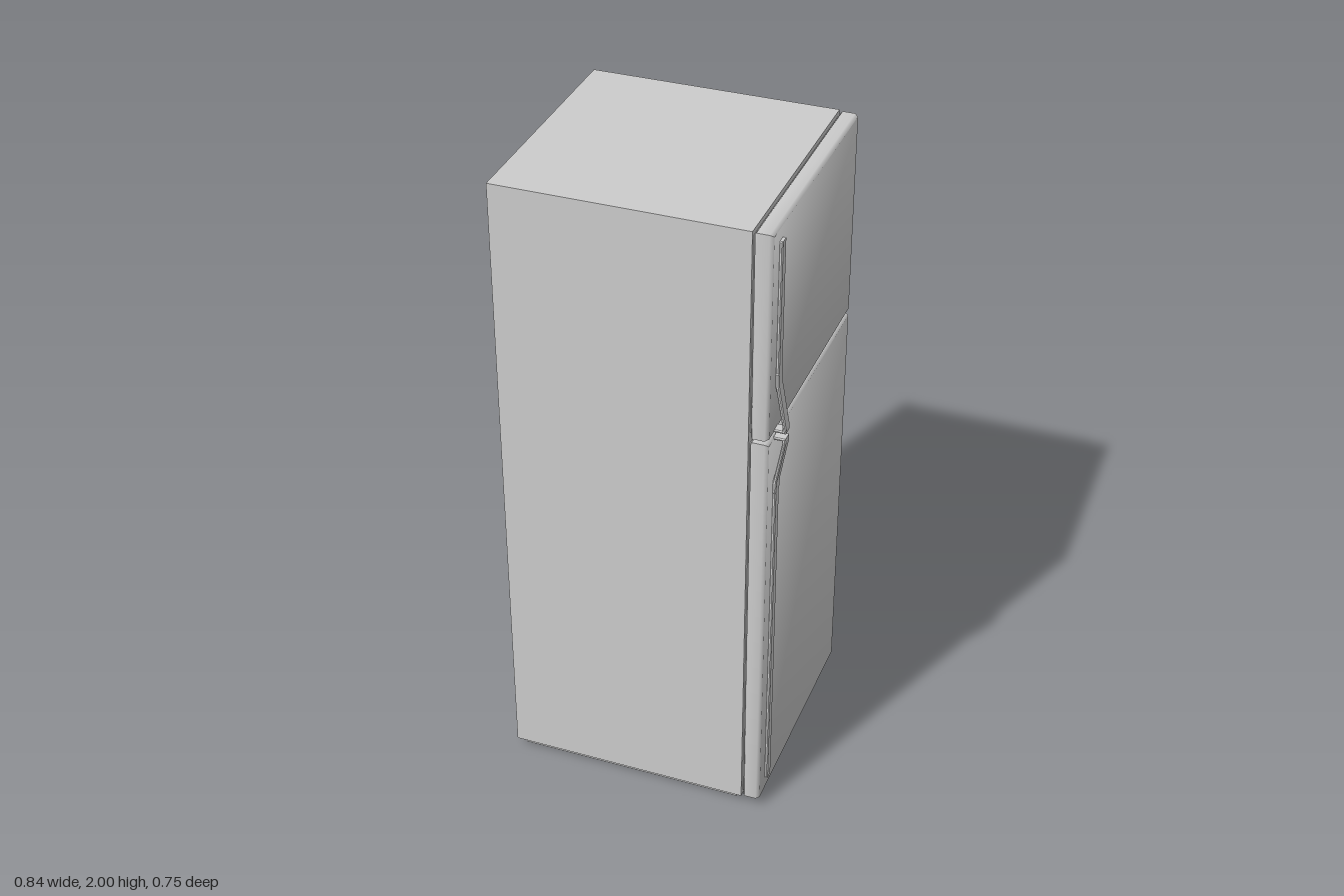
import * as THREE from 'three';
import { toCreasedNormals } from 'three/addons/utils/BufferGeometryUtils.js';

const material = new THREE.MeshStandardMaterial({ color: 0xcccccc });

function addMesh(parent, name, geometry) {
  const mesh = new THREE.Mesh(geometry, material);
  mesh.name = name;
  parent.add(mesh);
  return mesh;
}

// Box given by its minimum and maximum corners
function addBox(parent, name, [x0, y0, z0], [x1, y1, z1]) {
  const mesh = addMesh(parent, name, new THREE.BoxGeometry(x1 - x0, y1 - y0, z1 - z0));
  mesh.position.set((x0 + x1) / 2, (y0 + y1) / 2, (z0 + z1) / 2);
}

// Door slab: a box sliced along x, its end slices drawn in to form bevels
function doorGeometry(y0, y1) {
  const slices = [[0.333, 0.005], [0.338, 0], [0.374, 0], [0.385, 0.006]];
  const geo = new THREE.BoxGeometry(3, 2, 2, 3, 1, 1);
  const p = geo.attributes.position;
  const halfH = (y1 - y0) / 2;
  for (let i = 0; i < p.count; i++) {
    const [x, inset] = slices[Math.round(p.getX(i) + 1.5)];
    p.setXYZ(i, x, (y0 + y1) / 2 + p.getY(i) * (halfH - inset), p.getZ(i) * (0.373 - inset));
  }
  return toCreasedNormals(geo, THREE.MathUtils.degToRad(70));
}

// Extrudes an x-y outline along z with small chamfers, centred on the handle line
function handleGeometry(points, width) {
  const bevel = 0.003;
  const geo = new THREE.ExtrudeGeometry(new THREE.Shape(points.map(([x, y]) => new THREE.Vector2(x, y))), {
    depth: width - 2 * bevel, bevelEnabled: true, bevelSegments: 1,
    bevelThickness: bevel, bevelSize: bevel, bevelOffset: -bevel,
  });
  return geo.translate(0, 0, 0.308 - width / 2 + bevel);
}

// Handle: a long strip on the door and a grip that swings out towards the seam.
// dir is +1 for the upper door and -1 for the lower one.
function addHandle(parent, name, seamY, length, dir) {
  const group = new THREE.Group();
  group.name = name;
  const place = (points) => points.map(([x, d]) => [x, seamY + dir * d]);
  addMesh(group, 'handleStrip', handleGeometry(place([
    [0.383, 0.155], [0.394, 0.155], [0.394, length], [0.383, length],
  ]), 0.03));
  addMesh(group, 'handleGrip', handleGeometry(place([
    [0.383, 0], [0.418, 0], [0.419, 0.015], [0.396, 0.15], [0.394, 0.19], [0.383, 0.19],
    [0.384, 0.15], [0.387, 0.14], [0.409, 0.016], [0.407, 0.009], [0.383, 0.009],
  ]), 0.035));
  parent.add(group);
}

export function createModel() {
  const model = new THREE.Group();
  model.name = 'refrigerator';

  // Cabinet and recessed plinth
  addBox(model, 'cabinet', [-0.42, 0.03, -0.375], [0.328, 2, 0.375]);
  addBox(model, 'plinth', [-0.4, 0, -0.348], [0.305, 0.031, 0.35]);

  // Doors with inset gaskets behind them
  const doors = [['freezerDoor', 1.358, 1.997], ['fridgeDoor', 0.032, 1.346]];
  for (const [name, y0, y1] of doors) {
    addMesh(model, name, doorGeometry(y0, y1));
    addBox(model, name + 'Gasket', [0.327, y0 + 0.012, -0.361], [0.334, y1 - 0.012, 0.361]);
  }

  // Handles meeting at the seam
  addHandle(model, 'freezerHandle', 1.36, 0.595, 1);
  addHandle(model, 'fridgeHandle', 1.344, 1.265, -1);

  return model;
}
